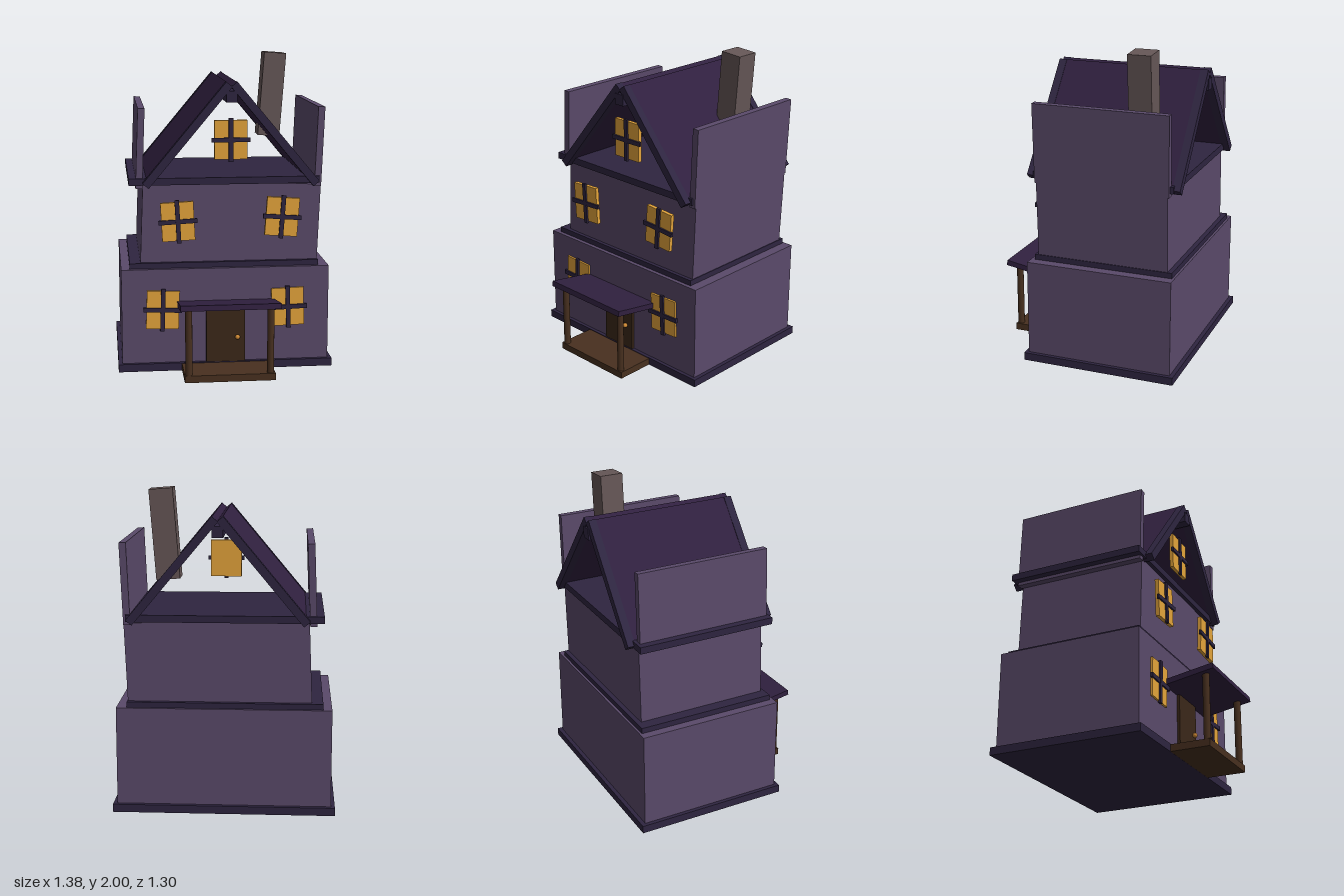
import * as THREE from 'three';

const paint = (color) => new THREE.MeshStandardMaterial({ color });

export function createModel() {
  const house = new THREE.Group();
  house.name = 'crookedHouse';
  const wall = paint(0x5a4a6a), trim = paint(0x2e2540), roof = paint(0x30203f);
  const wood = paint(0x48301f), doorWood = paint(0x3b2819), glass = paint(0xe5a53b);
  const stone = paint(0x665757), brass = paint(0xd08a35);

  // Box given by its centre, size and lean about z
  function box(name, mat, [x, y, z], size, lean = 0, parent = house) {
    const mesh = new THREE.Mesh(new THREE.BoxGeometry(...size), mat);
    mesh.name = name;
    mesh.position.set(x, y, z);
    mesh.rotation.z = lean;
    parent.add(mesh);
    return mesh;
  }

  // Storeys and the ledges between them
  box('baseLedge', trim, [0, 0.026, -0.147], [1.38, 0.05, 1.0]);
  box('groundFloor', wall, [0, 0.355, -0.145], [1.33, 0.62, 0.95]);
  box('middleLedge', trim, [-0.005, 0.682, -0.15], [1.21, 0.036, 0.91]);
  box('upperFloor', wall, [0.037, 0.945, -0.147], [1.135, 0.53, 0.855], -0.04);
  box('upperLedge', trim, [-0.005, 1.222, -0.15], [1.21, 0.044, 0.91]);

  // Leaning side walls that rise past the eaves
  for (const x of [-0.535, 0.603])
    box('sideParapet', wall, [x, 1.43, -0.147], [0.043, 0.505, 0.875], -0.04);

  // Open gabled roof: two slabs, gable beams and a ridge beam
  const ridgeX = 0.035, slope = Math.atan2(0.63, 0.525);
  for (const s of [-1, 1]) {
    const x = ridgeX + s * 0.2775;
    box('roofSlab', roof, [x, 1.517, -0.147], [0.82, 0.044, 0.97], -s * slope);
    for (const z of [0.325, -0.62])
      box('gableBeam', trim, [x, 1.517, z], [0.82, 0.05, 0.05], -s * slope);
  }
  box('ridgeBeam', trim, [ridgeX, 1.755, -0.147], [0.07, 0.07, 1.005]);

  // Crooked chimney
  box('chimney', stone, [0.376, 1.715, -0.337], [0.148, 0.56, 0.15], -0.076);

  // Windows: pane with a protruding cross bar
  const windows = [
    [-0.305, 0.973, 0, 0.05], [0.358, 0.992, 0, -0.07],
    [-0.404, 0.402, 0, -0.035], [0.4, 0.403, 0, 0.035],
    [ridgeX, 1.48, -0.05, 0],
  ];
  for (const [x, y, z, lean] of windows) {
    const win = new THREE.Group();
    win.name = 'window';
    win.position.set(x, y, z);
    win.rotation.z = lean;
    house.add(win);
    box('pane', glass, [0, 0, 0.331], [0.208, 0.247, 0.025], 0, win);
    box('uprightBar', trim, [0, 0, 0.347], [0.028, 0.275, 0.016], 0, win);
    box('crossBar', trim, [0, 0, 0.346], [0.245, 0.028, 0.016], 0, win);
  }

  // Door with round knob
  box('door', doorWood, [-0.002, 0.24, 0.335], [0.25, 0.39, 0.026]);
  const knob = new THREE.Mesh(new THREE.SphereGeometry(0.016, 12, 8), brass);
  knob.name = 'doorKnob';
  knob.position.set(0.072, 0.215, 0.362);
  house.add(knob);

  // Porch: deck, round posts and a canopy tilted towards the wall
  box('porchDeck', wood, [0, 0.024, 0.465], [0.57, 0.045, 0.28]);
  for (const x of [-0.258, 0.255]) {
    const post = new THREE.Mesh(new THREE.CylinderGeometry(0.022, 0.022, 0.42, 12), wood);
    post.name = 'porchPost';
    post.position.set(x, 0.255, 0.58);
    house.add(post);
  }
  const canopy = box('porchCanopy', roof, [0, 0.463, 0.485], [0.625, 0.035, 0.33]);
  canopy.rotation.x = -0.17;

  return house;
}
